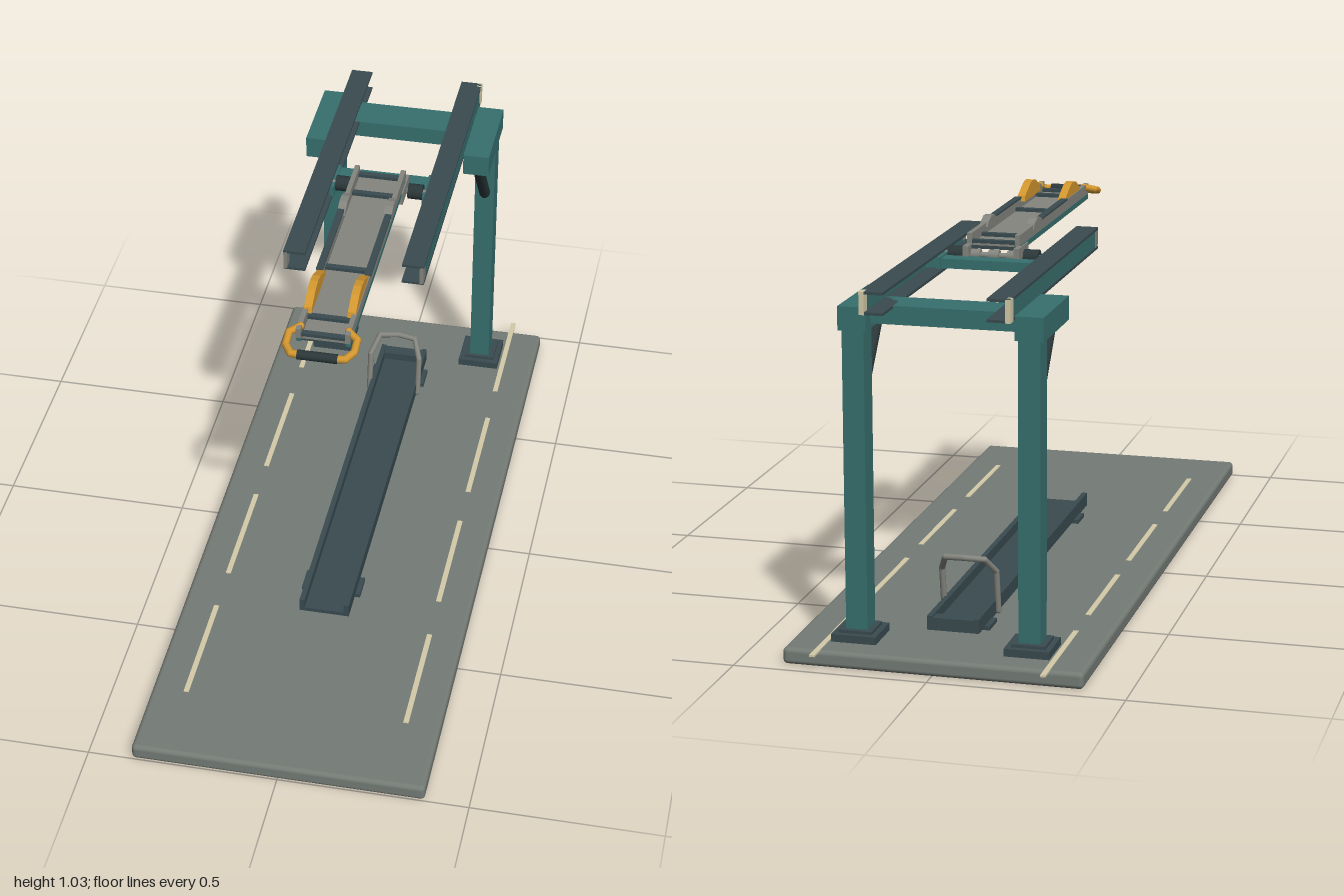
import * as THREE from 'three';
import { RoundedBoxGeometry } from 'three/addons/geometries/RoundedBoxGeometry.js';

const paint = (name, color) => {
  const m = new THREE.MeshStandardMaterial({ color });
  m.name = name;
  return m;
};

export function createModel() {
  const model = new THREE.Group();
  model.name = 'overheadRailRig';
  const concrete = paint('concrete', 0x747b75);
  const teal = paint('teal', 0x37706f);
  const slate = paint('slate', 0x394b50);
  const dark = paint('darkRubber', 0x2b3739);
  const steel = paint('steel', 0x85857f);
  const gold = paint('gold', 0xd2962f);
  const cream = paint('cream', 0xd3cba9);

  const add = (name, geometry, material) => {
    const mesh = new THREE.Mesh(geometry, material);
    mesh.name = name;
    model.add(mesh);
    return mesh;
  };
  // Box given by its extents on each axis
  const box = (name, mat, x0, x1, y0, y1, z0, z1) => {
    const mesh = add(name, new THREE.BoxGeometry(x1 - x0, y1 - y0, z1 - z0), mat);
    mesh.position.set((x0 + x1) / 2, (y0 + y1) / 2, (z0 + z1) / 2);
    return mesh;
  };
  // The same box on both sides
  const pair = (name, mat, x0, x1, ...rest) => {
    box(name + 'Left', mat, x0, x1, ...rest);
    box(name + 'Right', mat, -x1, -x0, ...rest);
  };
  const rod = (name, mat, a, b, r, sides = 14) => {
    const from = new THREE.Vector3(...a), to = new THREE.Vector3(...b);
    const dir = to.clone().sub(from);
    const mesh = add(name, new THREE.CylinderGeometry(r, r, dir.length(), sides), mat);
    mesh.position.copy(from).add(to).multiplyScalar(0.5);
    mesh.quaternion.setFromUnitVectors(new THREE.Vector3(0, 1, 0), dir.normalize());
    return mesh;
  };
  // Bent bar: straight rods with ball joints
  const bentBar = (name, mat, points, r) => {
    points.slice(1).forEach((p, i) => rod(name, mat, points[i], p, r, 10));
    points.forEach((p) => add(name + 'Joint', new THREE.SphereGeometry(r, 10, 8), mat).position.set(...p));
  };

  // Ground slab and lane dashes
  add('groundSlab', new RoundedBoxGeometry(0.77, 0.043, 1.96, 3, 0.012), concrete).position.set(0, 0.0235, 0.02);
  for (const z of [-1, -0.525, -0.05, 0.43]) {
    pair('laneDash', cream, 0.287, 0.301, 0.042, 0.047, z, z + 0.345);
  }

  // Posts, feet, head blocks and cross beam
  pair('footPlate', slate, 0.165, 0.281, 0.044, 0.065, -0.885, -0.765);
  pair('footCollar', slate, 0.18, 0.267, 0.065, 0.073, -0.87, -0.78);
  pair('post', teal, 0.195, 0.251, 0.073, 0.845, -0.855, -0.79);
  pair('headBlock', teal, 0.188, 0.26, 0.84, 0.901, -0.86, -0.605);
  box('crossBeam', teal, -0.19, 0.19, 0.853, 0.9, -0.82, -0.718);
  for (const s of [1, -1]) {
    rod('brace', dark, [s * 0.223, 0.655, -0.795], [s * 0.223, 0.85, -0.64], 0.016);
    add('braceEnd', new THREE.SphereGeometry(0.016, 14, 10), dark).position.set(s * 0.223, 0.655, -0.795);
  }

  // Inward-facing channel rails
  pair('railTopFlange', slate, 0.13, 0.189, 0.944, 0.951, -0.905, 0.012);
  pair('railBottomFlange', slate, 0.13, 0.189, 0.893, 0.9, -0.905, 0.012);
  pair('railWeb', teal, 0.178, 0.187, 0.9, 0.944, -0.88, -0.015);
  pair('railFrontEnd', steel, 0.178, 0.188, 0.897, 0.946, -0.015, 0.014);
  pair('railRearEnd', cream, 0.177, 0.19, 0.893, 0.951, -0.907, -0.88);

  // Carriage that runs in the rails
  box('carriageBar', teal, -0.165, 0.165, 0.913, 0.938, -0.425, -0.378);
  pair('carriageCheek', teal, 0.122, 0.134, 0.912, 0.942, -0.43, -0.32);
  pair('carriageArm', steel, 0.06, 0.075, 0.93, 0.965, -0.385, -0.29);
  rod('axle', steel, [-0.168, 0.937, -0.35], [0.168, 0.937, -0.35], 0.008);
  for (const s of [1, -1]) {
    rod('roller', dark, [s * 0.08, 0.937, -0.35], [s * 0.12, 0.937, -0.35], 0.021, 18);
    rod('guideWheel', slate, [s * 0.145, 0.925, -0.4], [s * 0.17, 0.925, -0.4], 0.017, 18);
  }
  for (const x of [-0.05, 0, 0.05]) {
    rod('hub', steel, [x - 0.014, 0.937, -0.35], [x + 0.014, 0.937, -0.35], 0.015, 16);
  }

  // Sled tray
  box('trayBottom', slate, -0.058, 0.058, 0.955, 0.964, -0.36, 0.39);
  box('trayFloor', steel, -0.056, 0.056, 0.964, 0.969, -0.36, 0.395);
  pair('trayRim', teal, 0.057, 0.071, 0.953, 0.967, -0.35, 0.393);
  pair('trayWall', steel, 0.057, 0.07, 0.967, 0.995, -0.36, 0.4);
  pair('trayWallCap', slate, 0.055, 0.073, 0.994, 0.999, -0.16, 0.14);
  for (const z of [-0.35, -0.26, 0.09, 0.31, 0.385]) {
    box('trayRib', slate, -0.057, 0.057, 0.966, 0.978, z - 0.008, z + 0.008);
  }

  // Raised side guards, drawn along z and extruded across x
  const guard = (name, mat, points, x, width) => {
    const shape = new THREE.Shape(points.map(([z, y]) => new THREE.Vector2(-z, y)));
    for (const s of [1, -1]) {
      const g = new THREE.ExtrudeGeometry(shape, { depth: width, bevelEnabled: false });
      g.translate(0, 0, -width / 2).rotateY(Math.PI / 2);
      add(name, g, mat).position.x = s * x;
    }
  };
  guard('goldGuard', gold,
    [[0.315, 0.985], [0.31, 1], [0.265, 1.024], [0.235, 1.03], [0.205, 1.026], [0.145, 1], [0.14, 0.985]], 0.057, 0.021);
  guard('smallGuard', steel,
    [[-0.13, 0.985], [-0.135, 0.997], [-0.165, 1.008], [-0.19, 1.008], [-0.22, 0.997], [-0.225, 0.985]], 0.062, 0.022);

  // Front handle with dark grip
  const side = [[0.062, 0.988, 0.375], [0.088, 0.98, 0.395], [0.088, 0.97, 0.435], [0.07, 0.965, 0.462], [0.05, 0.965, 0.464]];
  for (const s of [1, -1]) bentBar('handle', gold, side.map(([x, y, z]) => [s * x, y, z]), 0.01);
  rod('handleGrip', dark, [-0.052, 0.965, 0.464], [0.052, 0.965, 0.464], 0.0125);

  // Ground track: open channel on feet
  for (const z of [0.285, -0.67]) box('trackFoot', slate, -0.081, 0.081, 0.044, 0.056, z - 0.035, z + 0.035);
  box('trackFloor', slate, -0.066, 0.066, 0.053, 0.064, -0.76, 0.41);
  pair('trackWall', slate, 0.054, 0.068, 0.053, 0.09, -0.76, 0.41);
  box('trackStop', slate, -0.055, 0.055, 0.062, 0.086, -0.76, -0.725);

  // Hoop over the track
  const half = [[0.072, 0.06, -0.587], [0.072, 0.17, -0.605], [0.052, 0.212, -0.645]];
  bentBar('hoop', steel, [
    ...half, [0, 0.215, -0.652],
    ...half.slice().reverse().map(([x, y, z]) => [-x, y, z]),
  ], 0.008);

  return model;
}
